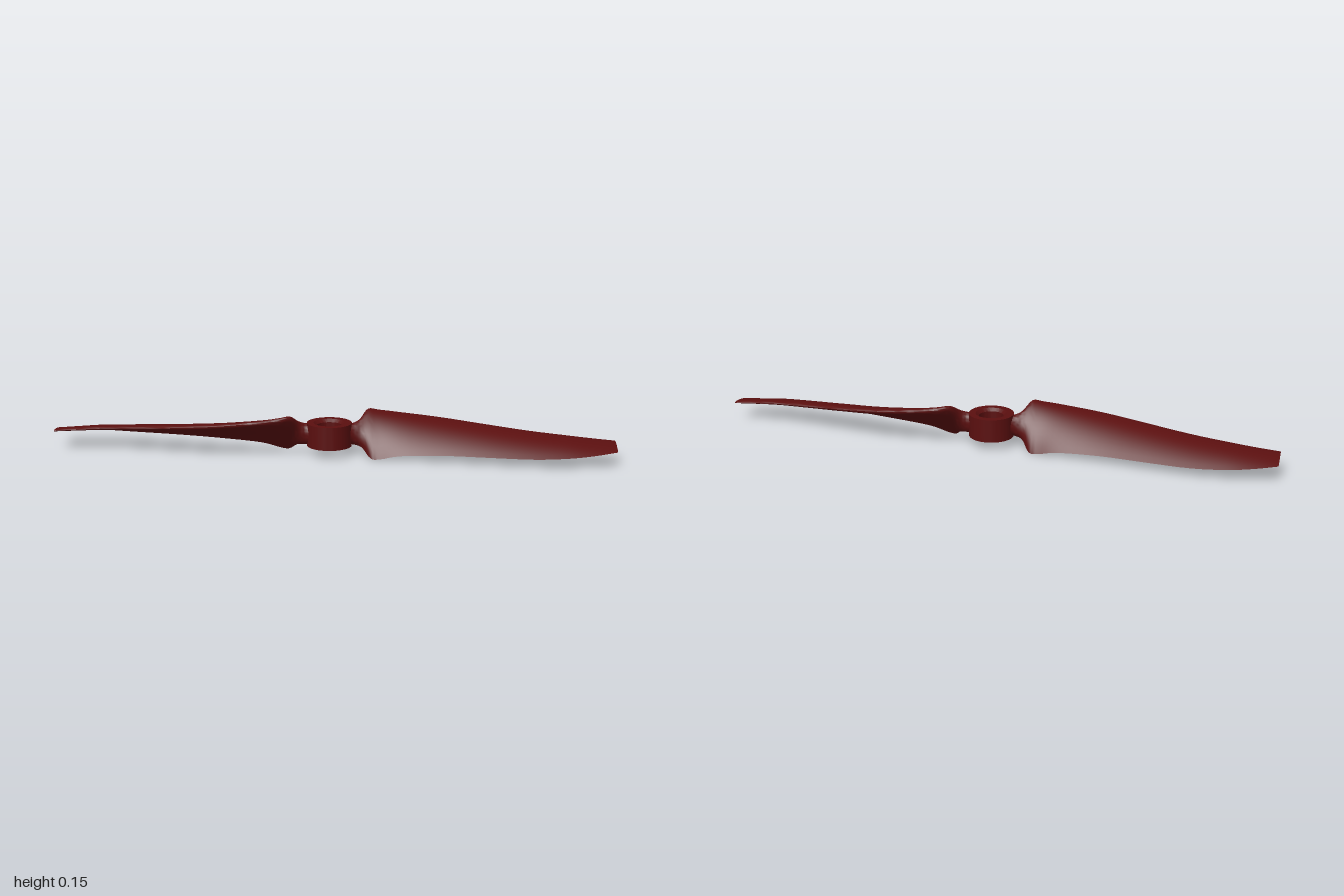
import * as THREE from 'three';
import { toCreasedNormals } from 'three/addons/utils/BufferGeometryUtils.js';

const V = (x, y, z) => new THREE.Vector3(x, y, z);

// Stations from neck to tip: [x, leadY, leadZ, trailX, trailY, trailZ, thickness, camber, roundness]
const STATIONS = [
  [0.06, 0.117, 0.000, 0.060, 0.041, 0.000, 0.075, 0, 1],
  [0.085, 0.118, -0.004, 0.085, 0.040, 0.004, 0.050, 0, 1],
  [0.11, 0.128, -0.022, 0.115, 0.034, 0.024, 0.042, 0, 0.8],
  [0.14, 0.154, -0.064, 0.145, 0.006, 0.070, 0.038, 0.005, 0.2],
  [0.18, 0.148, -0.073, 0.180, 0.007, 0.083, 0.036, 0.008, 0],
  [0.25, 0.138, -0.077, 0.250, 0.022, 0.097, 0.033, 0.010, 0],
  [0.40, 0.121, -0.062, 0.400, 0.031, 0.126, 0.029, 0.012, 0],
  [0.55, 0.106, -0.021, 0.550, 0.034, 0.163, 0.025, 0.012, 0],
  [0.70, 0.093, 0.025, 0.700, 0.036, 0.194, 0.021, 0.011, 0],
  [0.82, 0.085, 0.056, 0.820, 0.042, 0.203, 0.018, 0.009, 0],
  [0.92, 0.077, 0.072, 0.910, 0.049, 0.195, 0.014, 0.006, 0],
  [1.00, 0.071, 0.080, 0.987, 0.057, 0.180, 0.010, 0.003, 0],
];

// Half thickness along the chord: aerofoil blended towards an ellipse
function halfThickness(u, round) {
  const foil = 2.969 * Math.sqrt(u) - 1.26 * u - 3.516 * u ** 2 + 2.843 * u ** 3 - 1.036 * u ** 4;
  const ellipse = Math.sqrt(Math.max(0, u * (1 - u))) * 2;
  return 0.5 * THREE.MathUtils.lerp(Math.max(0, foil), ellipse, round);
}

function bladeGeometry() {
  const lead = new THREE.CatmullRomCurve3(STATIONS.map(s => V(s[0], s[1], s[2])), false, 'catmullrom');
  const trail = new THREE.CatmullRomCurve3(STATIONS.map(s => V(s[3], s[4], s[5])), false, 'catmullrom');
  const spans = (STATIONS.length - 1) * 4, half = 14, ring = half * 2 + 1;
  const pos = [], index = [];

  for (let i = 0; i <= spans; i++) {
    const f = i / spans * (STATIONS.length - 1);
    const k = Math.min(Math.floor(f), STATIONS.length - 2);
    const mix = n => THREE.MathUtils.lerp(STATIONS[k][n], STATIONS[k + 1][n], f - k);
    const L = lead.getPoint(i / spans), T = trail.getPoint(i / spans);
    const up = V(0, T.z - L.z, L.y - T.y).normalize();
    // Upper skin from trailing to leading edge, then the lower skin back
    for (let j = 0; j < ring; j++) {
      const a = j / half - 1;
      const u = 1 - Math.cos(Math.abs(a) * Math.PI / 2);
      const off = 4 * mix(7) * u * (1 - u) - Math.sign(a) * mix(6) * halfThickness(u, mix(8));
      const p = L.clone().lerp(T, u).addScaledVector(up, off);
      pos.push(p.x, p.y, p.z);
    }
  }
  for (let i = 0; i < spans; i++) {
    for (let j = 0; j < ring - 1; j++) {
      const a = i * ring + j, c = a + ring;
      index.push(a, c, a + 1, a + 1, c, c + 1);
    }
  }
  // Tip cap, a strip between the two skins
  const base = spans * ring;
  for (let j = 0; j < half; j++) {
    const a = base + j, b = base + ring - 1 - j;
    index.push(a, b, a + 1, a + 1, b, b - 1);
  }
  const g = new THREE.BufferGeometry();
  g.setAttribute('position', new THREE.Float32BufferAttribute(pos, 3));
  g.setIndex(index);
  return toCreasedNormals(g, 0.7);
}

export function createModel() {
  const model = new THREE.Group();
  model.name = 'propeller';
  const darkRed = new THREE.MeshStandardMaterial({ color: 0x5a0f0f });
  darkRed.name = 'dark red';

  // Hub: a ring with a countersunk bore
  const profile = [
    [0.08, 0.037], [0.08, 0.12], [0.056, 0.12], [0.044, 0.11],
    [0.044, 0.046], [0.054, 0.037], [0.08, 0.037],
  ].map(p => new THREE.Vector2(...p));
  const hub = new THREE.Mesh(toCreasedNormals(new THREE.LatheGeometry(profile, 64), 0.5), darkRed);
  hub.name = 'hub';
  model.add(hub);

  // Two twisted blades, half a turn apart
  const geometry = bladeGeometry();
  ['leftBlade', 'rightBlade'].forEach((name, i) => {
    const blade = new THREE.Mesh(geometry, darkRed);
    blade.name = name;
    blade.rotation.y = i * Math.PI;
    model.add(blade);
  });
  return model;
}
